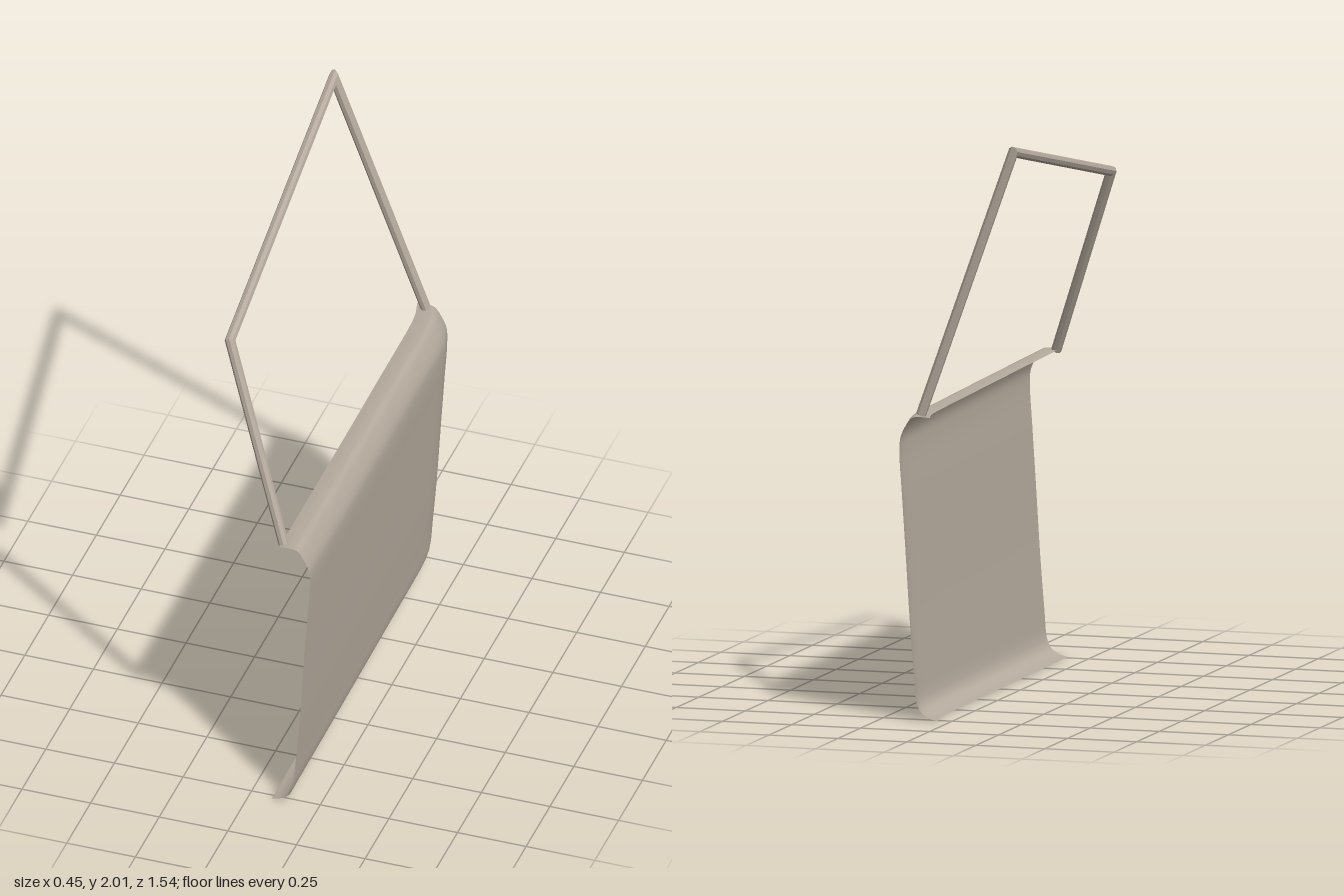
import * as THREE from 'three';

const paint = new THREE.MeshStandardMaterial({ color: 0xb5aa9d, side: THREE.DoubleSide });
paint.name = 'warm grey paint';

// Curved sheet: one smooth vertical profile swept from rear to front
function doorSkin() {
  const profile = new THREE.CatmullRomCurve3([
    [0.08, 0], [0.11, 0.008], [0.14, 0.027], [0.156, 0.06], [0.166, 0.16], [0.182, 0.36],
    [0.197, 0.6], [0.21, 0.8], [0.219, 0.95], [0.215, 0.995], [0.195, 1.04],
    [0.172, 1.07], [0.145, 1.074], [0.108, 1.072],
  ].map(([x, y]) => new THREE.Vector3(x, y, 0)), false, 'centripetal').getPoints(52);
  // Depth stations: [z, inward shift]; the rear edge rolls inward
  const stations = [[-0.77, 0.034], [-0.745, 0.026], [-0.71, 0.018], [-0.67, 0.013],
    [-0.6, 0.01], [-0.3, 0.008], [0, 0.005], [0.4, 0.002], [0.77, 0]];
  const n = profile.length, pos = [], index = [];
  stations.forEach(([z, shift], k) => {
    const drop = 0.018 * (0.77 - z) / 1.54;
    profile.forEach((p, s) => {
      pos.push(p.x - shift, p.y * (1 - drop / 1.074), z);
      if (k < stations.length - 1 && s < n - 1) {
        const a = k * n + s;
        index.push(a, a + 1, a + n + 1, a, a + n + 1, a + n);
      }
    });
  });
  const g = new THREE.BufferGeometry();
  g.setAttribute('position', new THREE.Float32BufferAttribute(pos, 3));
  g.setIndex(index);
  g.computeVertexNormals();
  return g;
}

// Faceted rod along straight runs, with mitred corners and closed ends
function mitredRod(points, radius, sides) {
  const P = points.map(p => new THREE.Vector3(...p));
  const dirs = P.slice(1).map((p, i) => p.clone().sub(P[i]).normalize());
  const u = new THREE.Vector3(0, 0, 1).cross(dirs[0]).normalize();
  const v = dirs[0].clone().cross(u);
  let ring = [];
  for (let j = 0; j < sides; j++) {
    const a = (j + 0.5) / sides * Math.PI * 2;
    ring.push(P[0].clone().addScaledVector(u, Math.cos(a) * radius).addScaledVector(v, Math.sin(a) * radius));
  }
  const rings = [ring];
  dirs.forEach((d, i) => {
    const normal = d.clone().add(dirs[i + 1] || d).normalize();
    ring = ring.map(p => p.clone().addScaledVector(d, normal.dot(P[i + 1].clone().sub(p)) / normal.dot(d)));
    rings.push(ring);
  });
  const tris = [];
  const last = rings.length - 1;
  for (let j = 0; j < sides; j++) {
    const k = (j + 1) % sides;
    for (let i = 0; i < last; i++) {
      const [a, b, c, d] = [rings[i][j], rings[i][k], rings[i + 1][k], rings[i + 1][j]];
      tris.push(a, b, c, a, c, d);
    }
    tris.push(P[0], rings[0][k], rings[0][j], P[last], rings[last][j], rings[last][k]);
  }
  const g = new THREE.BufferGeometry().setFromPoints(tris);
  g.computeVertexNormals();
  return g;
}

export function createModel() {
  const model = new THREE.Group();
  model.name = 'vehicleDoor';
  const add = (name, geometry) => {
    const mesh = new THREE.Mesh(geometry, paint);
    mesh.name = name;
    model.add(mesh);
  };
  add('doorSkin', doorSkin());
  // Window frame: front pillar, top rail and rear pillar
  add('windowFrame', mitredRod([
    [0.115, 1.07, 0.745], [-0.15, 1.735, 0.545], [-0.208, 1.985, -0.71], [0.115, 1.06, -0.745],
  ], 0.018, 8));
  return model;
}
